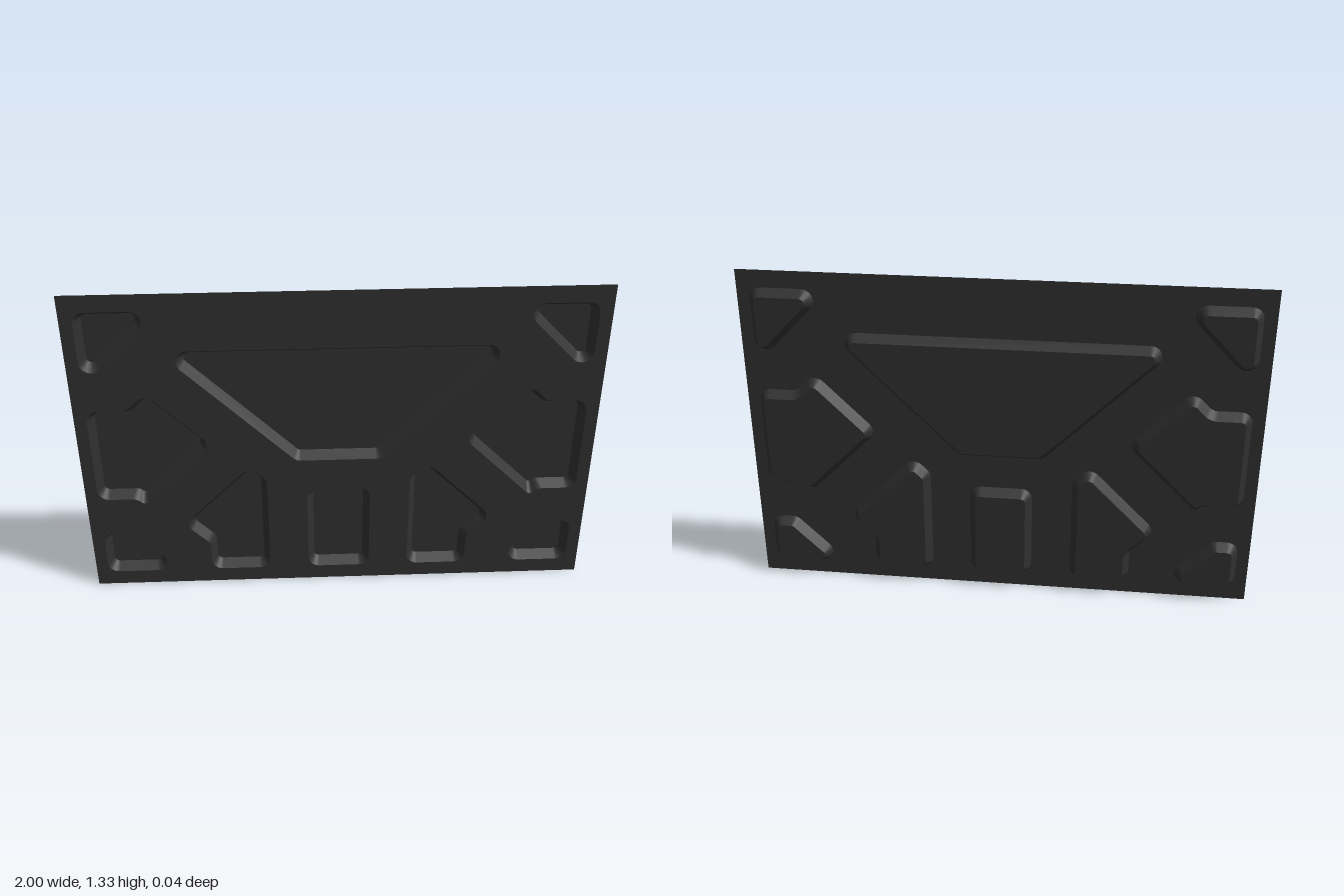
import * as THREE from 'three';

const W = 2, H = 1.333, FRONT = 0.02, BACK = -0.02;
const INSET = 0.025, RADIUS = 0.045, ARC = 6;

// Pocket outlines as sharp corners; the paired ones are for the -x side
const paired = {
  upperCornerPocket: [[-0.952, 1.264], [-0.952, 0.948], [-0.647, 1.264]],
  sidePocket: [[-0.952, 0.846], [-0.952, 0.434], [-0.8, 0.434], [-0.77, 0.403],
    [-0.49, 0.683], [-0.727, 0.921], [-0.802, 0.846]],
  lowerPocket: [[-0.524, 0.064], [-0.283, 0.064], [-0.283, 0.509], [-0.35, 0.576],
    [-0.623, 0.3], [-0.524, 0.2]],
  lowerCornerPocket: [[-0.952, 0.064], [-0.645, 0.064], [-0.85, 0.268], [-0.952, 0.268]],
};
const single = {
  mainPocket: [[-0.165, 0.6], [0.165, 0.6], [0.663, 1.098], [-0.663, 1.098]],
  middlePocket: [[-0.125, 0.064], [0.125, 0.064], [0.125, 0.46], [-0.125, 0.46]],
};

// Unit directions of the edges before and after corner i
function edges(pts, i) {
  const n = pts.length, p = pts[i];
  const a = p.clone().sub(pts[(i + n - 1) % n]);
  const b = pts[(i + 1) % n].clone().sub(p);
  const shortest = Math.min(a.length(), b.length());
  return { a: a.normalize(), b: b.normalize(), shortest, turn: Math.atan2(a.cross(b), a.dot(b)) };
}

const leftNormal = (v) => new THREE.Vector2(-v.y, v.x);

// Mitred inset of a counter-clockwise outline
function inset(pts, d) {
  return pts.map((p, i) => {
    const { a, b } = edges(pts, i);
    const n1 = leftNormal(a), n2 = leftNormal(b);
    return n1.clone().add(n2).multiplyScalar(d / (1 + n1.dot(n2))).add(p);
  });
}

// Replace every corner with an arc; shrink is subtracted at convex corners, added at concave ones
function rounded(pts, shrink) {
  const out = [];
  pts.forEach((p, i) => {
    const { a, b, shortest, turn } = edges(pts, i);
    const side = Math.sign(turn), k = Math.tan(Math.abs(turn) / 2);
    const t = Math.min((RADIUS - side * shrink) * k, shortest * 0.48);
    const r = t / k;
    const start = p.clone().addScaledVector(a, -t);
    const centre = start.clone().addScaledVector(leftNormal(a), side * r);
    for (let j = 0; j <= ARC; j++) {
      out.push(start.clone().rotateAround(centre, turn * j / ARC));
    }
  });
  return out;
}

// Sloping wall between the rim and the floor outline
function wallGeometry(rim, floor) {
  const n = rim.length, pos = [], index = [];
  rim.forEach((p, i) => pos.push(p.x, p.y, FRONT, floor[i].x, floor[i].y, BACK));
  for (let i = 0; i < n; i++) {
    const a = 2 * i, b = 2 * ((i + 1) % n);
    index.push(a, b, a + 1, b, b + 1, a + 1);
  }
  const g = new THREE.BufferGeometry();
  g.setAttribute('position', new THREE.Float32BufferAttribute(pos, 3));
  g.setIndex(index);
  g.computeVertexNormals();
  return g;
}

export function createModel() {
  const model = new THREE.Group();
  model.name = 'embossedPanel';
  const material = new THREE.MeshStandardMaterial({ color: 0x303030, side: THREE.DoubleSide });

  const sheet = new THREE.Shape([
    new THREE.Vector2(-W / 2, 0), new THREE.Vector2(W / 2, 0),
    new THREE.Vector2(W / 2, H), new THREE.Vector2(-W / 2, H),
  ]);

  function addPocket(name, corners) {
    const pts = corners.map(([x, y]) => new THREE.Vector2(x, y));
    const rim = rounded(pts, 0);
    const floor = rounded(inset(pts, INSET), INSET);
    sheet.holes.push(new THREE.Path(rim));

    const pocket = new THREE.Group();
    pocket.name = name;
    const wall = new THREE.Mesh(wallGeometry(rim, floor), material);
    wall.name = name + 'Wall';
    const base = new THREE.Mesh(new THREE.ShapeGeometry(new THREE.Shape(floor)), material);
    base.name = name + 'Floor';
    base.position.z = BACK;
    pocket.add(wall, base);
    model.add(pocket);
  }

  // Pockets, mirrored across the middle
  for (const [name, corners] of Object.entries(single)) addPocket(name, corners);
  for (const [name, corners] of Object.entries(paired)) {
    addPocket(name + 'Right', corners);
    addPocket(name + 'Left', corners.map(([x, y]) => [-x, y]).reverse());
  }

  // Flat sheet around the pockets
  const plate = new THREE.Mesh(new THREE.ShapeGeometry(sheet), material);
  plate.name = 'faceSheet';
  plate.position.z = FRONT;
  model.add(plate);
  return model;
}
